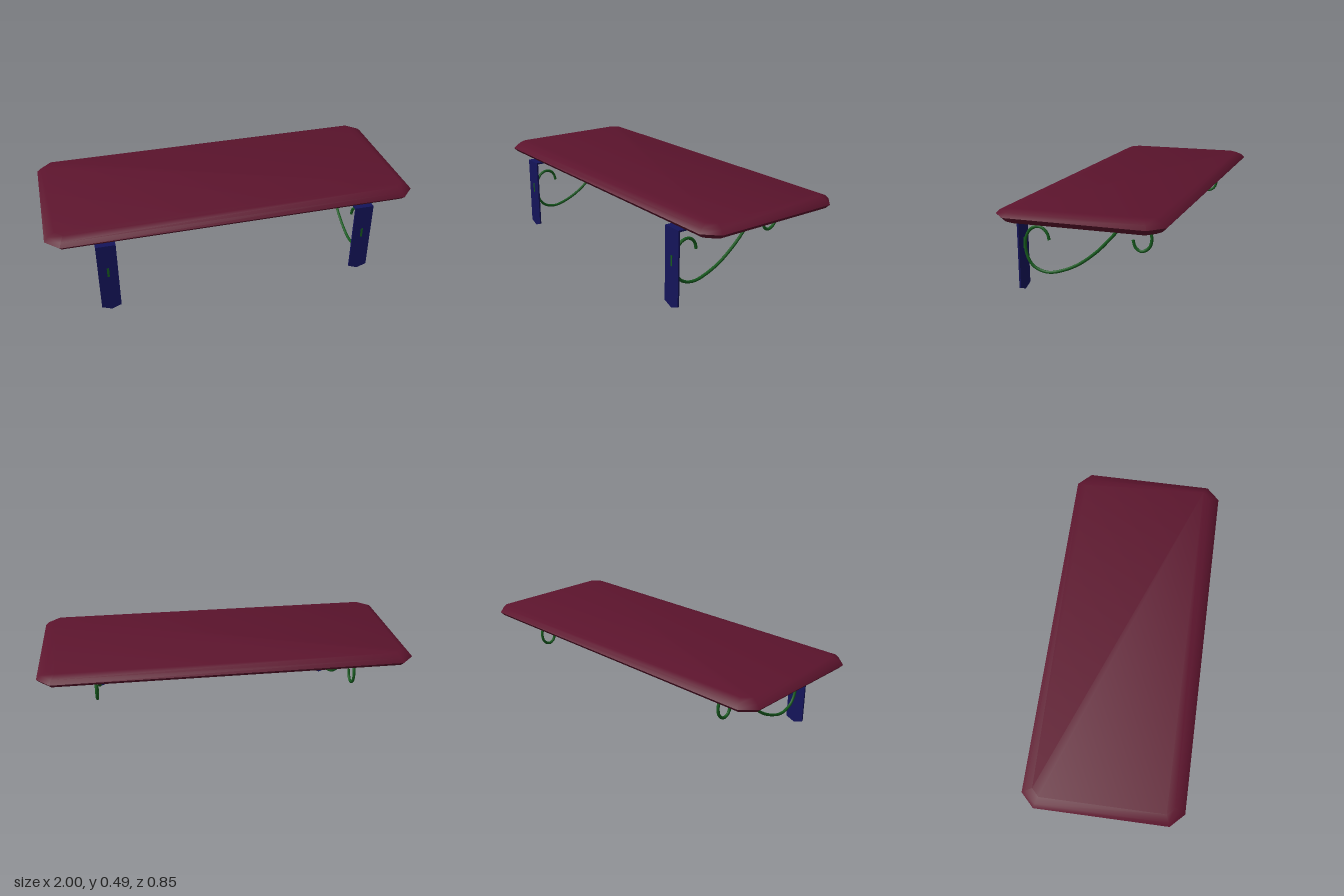
import * as THREE from 'three';
import { toCreasedNormals } from 'three/addons/utils/BufferGeometryUtils.js';

const wood = new THREE.MeshStandardMaterial({ color: 0x5c142d });
const metal = new THREE.MeshStandardMaterial({ color: 0x14145a });
const iron = new THREE.MeshStandardMaterial({ color: 0x165a1e });

function add(parent, name, geometry, material) {
  const mesh = new THREE.Mesh(geometry, material);
  mesh.name = name;
  parent.add(mesh);
  return mesh;
}

// Board: octagonal cross-sections stacked upwards, closed by flat caps
function boardGeometry() {
  const sections = [[0.42, 0.055], [0.436, 0.02], [0.457, 0], [0.477, 0.02], [0.492, 0.055]]; // [y, inset]
  const positions = [], index = [], n = 8;
  for (const [y, inset] of sections) {
    const x = 1 - inset, z = 0.423 - inset, c = 0.072 - 0.586 * inset;
    const ring = [[x, z - c], [x - c, z], [c - x, z], [-x, z - c], [-x, c - z], [c - x, -z], [x - c, -z], [x, c - z]];
    for (const [px, pz] of ring) positions.push(px, y, pz);
  }
  const top = (sections.length - 1) * n;
  for (let s = 0; s < sections.length - 1; s++) {
    for (let i = 0; i < n; i++) {
      const a = s * n + i, b = s * n + (i + 1) % n;
      index.push(a, a + n, b, b, a + n, b + n);
    }
  }
  for (let i = 1; i < n - 1; i++) {
    index.push(0, i, i + 1, top, top + i + 1, top + i);
  }
  const geometry = new THREE.BufferGeometry();
  geometry.setAttribute('position', new THREE.Float32BufferAttribute(positions, 3));
  geometry.setIndex(index);
  return toCreasedNormals(geometry, 0.6);
}

// Flat bar hanging down from y = 0 with a shallow pointed end
function barGeometry(length) {
  const w = 0.052, t = 0.009;
  const shape = new THREE.Shape([[-w, 0], [-w, 0.02 - length], [0, -length], [w, 0.02 - length], [w, 0]]
    .map(([x, y]) => new THREE.Vector2(x, y)));
  return new THREE.ExtrudeGeometry(shape, { depth: t, bevelEnabled: false });
}

// Centre line of the S-scroll as [z, y]
const scrollPath = new THREE.CatmullRomCurve3([
  [0.257, 0.275], [0.264, 0.305], [0.287, 0.332], [0.32, 0.341], [0.357, 0.325], [0.382, 0.288],
  [0.391, 0.24], [0.381, 0.18], [0.355, 0.135], [0.315, 0.111], [0.26, 0.103], [0.19, 0.12],
  [0.1, 0.162], [0, 0.238], [-0.07, 0.31], [-0.12, 0.365], [-0.16, 0.393], [-0.21, 0.404],
  [-0.255, 0.39], [-0.28, 0.358], [-0.285, 0.328], [-0.275, 0.29], [-0.25, 0.268], [-0.225, 0.264],
  [-0.2, 0.283], [-0.19, 0.318],
].map(([z, y]) => new THREE.Vector3(0, y, z)));

function bracket() {
  const group = new THREE.Group();
  group.name = 'bracket';

  const upright = add(group, 'uprightBar', barGeometry(0.415), metal);
  upright.position.set(0, 0.415, 0.398);
  const arm = add(group, 'supportArm', barGeometry(0.747), metal);
  arm.rotation.x = Math.PI / 2;
  arm.position.set(0, 0.416, 0.407);

  // Scrollwork with closed ends
  const radius = 0.008;
  add(group, 'scroll', new THREE.TubeGeometry(scrollPath, 90, radius, 8), iron);
  for (const end of [0, 1]) {
    const cap = add(group, 'scrollEnd', new THREE.CircleGeometry(radius, 8), iron);
    const outward = scrollPath.getTangent(end).multiplyScalar(end ? 1 : -1);
    cap.quaternion.setFromUnitVectors(new THREE.Vector3(0, 0, 1), outward);
    cap.position.copy(scrollPath.getPoint(end));
  }

  // Tab where the scroll passes through the upright
  const tab = add(group, 'scrollTab', new THREE.BoxGeometry(0.012, 0.056, 0.014), iron);
  tab.position.set(0, 0.248, 0.401);
  return group;
}

export function createModel() {
  const model = new THREE.Group();
  model.name = 'shelf';
  add(model, 'board', boardGeometry(), wood);
  for (const side of [-1, 1]) {
    const b = bracket();
    b.name = side > 0 ? 'leftBracket' : 'rightBracket';
    b.position.x = side * 0.705;
    model.add(b);
  }
  return model;
}
